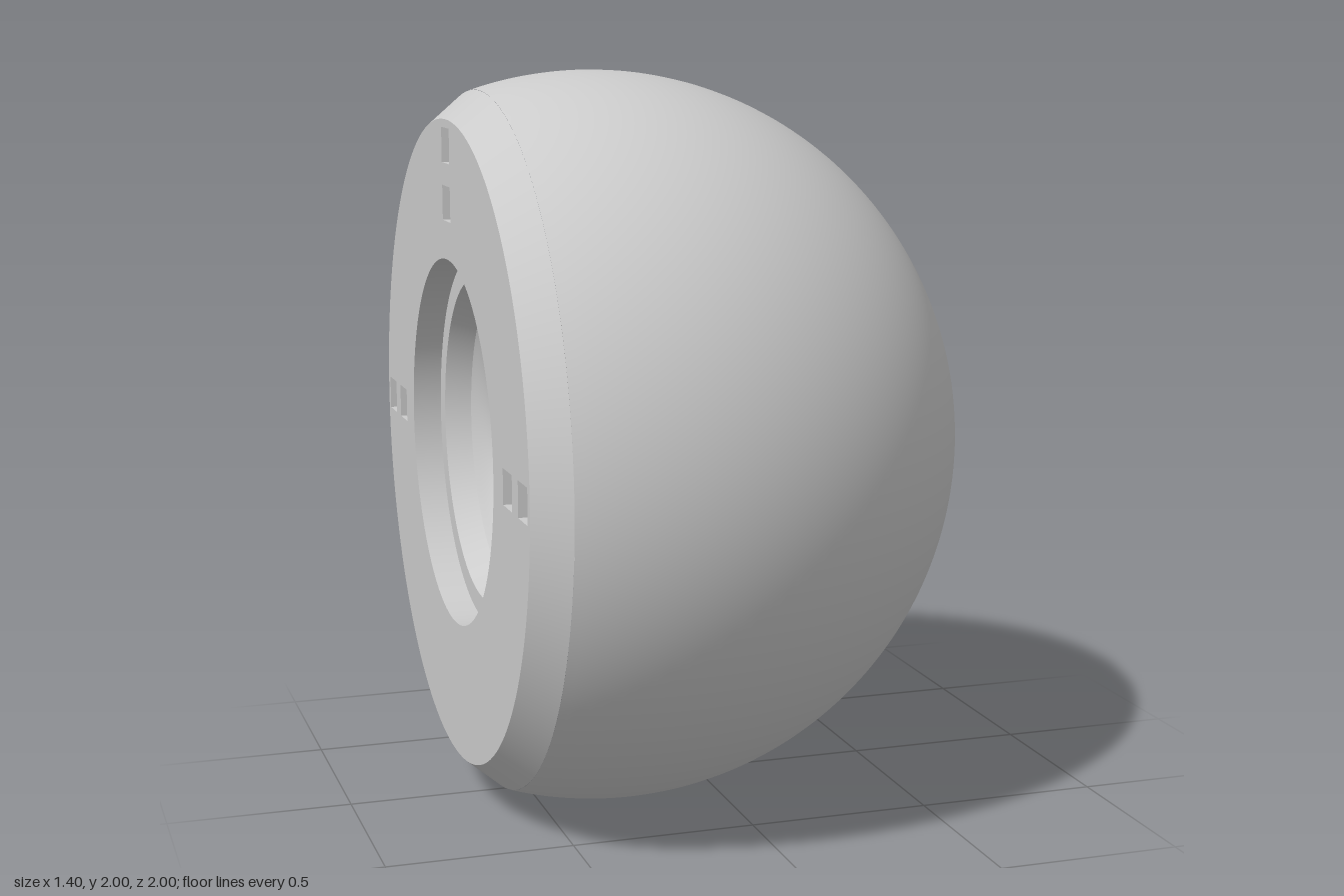
import * as THREE from 'three';

const CX = -0.3;      // sphere centre on x
const FACE = -0.7;    // flat mounting face on x
const CAP = 0.63;     // where the dark cap begins
const SEG = 128;

const grey = new THREE.MeshStandardMaterial({ color: 0xcccccc });
const black = new THREE.MeshStandardMaterial({ color: 0x111111 });
const v = (r, x) => new THREE.Vector2(r, x);

// Points (radius, x) of the unit sphere between two x positions
function arc(x0, x1, n) {
  const a0 = Math.asin(x0 - CX), a1 = Math.asin(Math.min(1, x1 - CX));
  return Array.from({ length: n + 1 }, (_, i) => {
    const a = a0 + (a1 - a0) * i / n;
    return v(Math.max(0, Math.cos(a)), CX + Math.sin(a));
  });
}

export function createModel() {
  const group = new THREE.Group();

  function add(name, geometry, material = grey) {
    const mesh = new THREE.Mesh(geometry, material);
    mesh.name = name;
    mesh.position.y = 1;
    group.add(mesh);
  }
  // Surface turned around the x axis
  const turn = (points) => new THREE.LatheGeometry(points, SEG).rotateZ(-Math.PI / 2);

  // Ball shell, dark cap and bevelled rear edge
  add('ballShell', turn(arc(-0.61, CAP, 60)));
  add('darkCap', turn(arc(CAP, 0.7, 16)), black);
  add('rearBevel', turn([v(0.875, FACE), v(0.95, -0.61)]));

  // Flat rear face with the socket opening and three pairs of square slots
  const face = new THREE.Shape().absarc(0, 0, 0.875, 0, Math.PI * 2);
  face.holes.push(new THREE.Path().absarc(0, 0, 0.5, 0, Math.PI * 2, true));
  const half = 0.047, depth = 0.14;
  for (const [dz, dy] of [[0, 1], [1, 0], [-1, 0]]) {
    for (const r of [0.65, 0.805]) {
      const z = dz * r, y = dy * r;
      face.holes.push(new THREE.Path([
        v(z - half, y - half), v(z - half, y + half),
        v(z + half, y + half), v(z + half, y - half), v(z - half, y - half),
      ]));
      // Pocket: inward-facing box without its opening side
      const box = new THREE.BoxGeometry(depth, half * 2, half * 2);
      const index = Array.from(box.index.array);
      index.splice(6, 6);
      box.setIndex(index.reverse());
      const normals = box.attributes.normal;
      for (let i = 0; i < normals.array.length; i++) normals.array[i] *= -1;
      box.translate(FACE + depth / 2, y, z);
      add('slotPocket', box);
    }
  }
  add('rearFace', new THREE.ShapeGeometry(face, SEG / 2)
    .rotateY(-Math.PI / 2).translate(FACE, 0, 0));

  // Socket: counterbore, ledge, stepped cone, rounded neck and inner chamber
  add('counterbore', turn([v(0.5, -0.62), v(0.5, FACE)]));
  add('socketLedge', turn([v(0.44, -0.62), v(0.5, -0.62)]));
  add('socketCone', turn([v(0.41, -0.55), v(0.44, -0.62)]));
  const chamber = new THREE.SplineCurve([
    v(0, 0.1), v(0.2, 0.06), v(0.36, -0.06), v(0.41, -0.2),
    v(0.38, -0.33), v(0.34, -0.43), v(0.355, -0.5), v(0.41, -0.55),
  ]);
  add('innerChamber', turn(chamber.getPoints(48)));

  return group;
}
